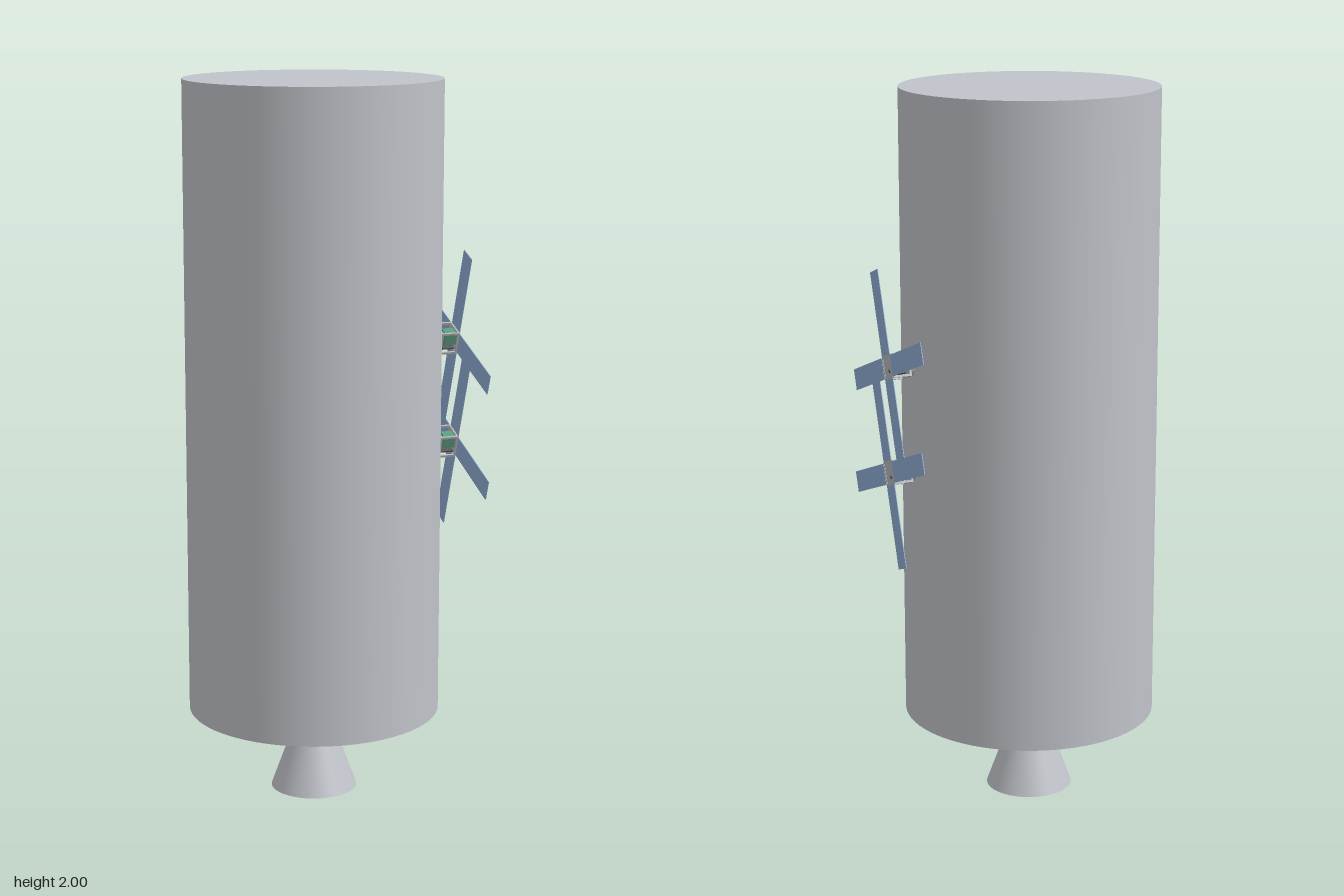
import * as THREE from 'three';

const mat = (name, color) => {
  const m = new THREE.MeshStandardMaterial({ color });
  m.name = name;
  return m;
};

export function createModel() {
  const hullGrey = mat('hull grey', 0xc0c3c9);
  const panelBlue = mat('panel blue', 0x8facd3);
  const frameGrey = mat('frame grey', 0xb4b6b8);
  const boardGreen = mat('board green', 0x5a9e80);
  const darkGrey = mat('dark grey', 0x55585c);

  const model = new THREE.Group();
  model.name = 'rocketStage';

  const add = (parent, name, geometry, material, x, y, z) => {
    const mesh = new THREE.Mesh(geometry, material);
    mesh.name = name;
    mesh.position.set(x, y, z);
    parent.add(mesh);
    return mesh;
  };
  const box = (parent, name, material, size, pos) =>
    add(parent, name, new THREE.BoxGeometry(...size), material, ...pos);

  // Main stage and engine bell
  const axisX = -0.035;
  add(model, 'stageBody', new THREE.CylinderGeometry(0.352, 0.352, 1.76, 72), hullGrey, axisX, 1.12, 0);
  add(model, 'engineNozzle', new THREE.CylinderGeometry(0.034, 0.121, 0.24, 48), hullGrey, axisX, 0.12, 0);

  // Small cube satellite: local +x points away from the stage
  const S = 0.066, D = 0.054, bar = 0.006;
  function satellite(y) {
    const sat = new THREE.Group();
    sat.name = 'cubeSatellite';
    sat.position.set(0.356, y, 0);
    sat.rotation.x = THREE.MathUtils.degToRad(20);

    // Open frame made of twelve bars
    const h = S / 2 - bar / 2, d = D / 2 - bar / 2;
    for (const a of [-1, 1]) {
      for (const b of [-1, 1]) {
        box(sat, 'frameBarDepth', frameGrey, [D, bar, bar], [0, a * h, b * h]);
        box(sat, 'frameBarUpright', frameGrey, [bar, S, bar], [a * d, 0, b * h]);
        box(sat, 'frameBarCross', frameGrey, [bar, bar, S], [a * d, b * h, 0]);
      }
    }
    // Outer face plate, with a small sensor
    box(sat, 'facePlate', frameGrey, [0.002, S - bar, S - bar], [D / 2 - 0.002, 0, 0]);
    const lens = add(sat, 'sensor', new THREE.CylinderGeometry(0.005, 0.005, 0.003, 16), darkGrey, D / 2, -0.012, -0.012);
    lens.rotation.z = Math.PI / 2;

    // Circuit board stack and battery inside
    box(sat, 'innerDeck', darkGrey, [0.04, 0.004, 0.05], [0, -0.02, 0]);
    box(sat, 'circuitBoard', boardGreen, [0.034, 0.034, 0.034], [0.005, 0.01, 0.008]);
    box(sat, 'battery', frameGrey, [0.03, 0.026, 0.012], [0, 0, -0.02]);

    // Release mount against the stage
    const mount = add(sat, 'releaseMount', new THREE.CylinderGeometry(0.03, 0.03, 0.016, 24), frameGrey, -0.033, 0, 0);
    mount.rotation.z = Math.PI / 2;

    // Four unfolded solar panels in a cross
    const inner = S / 2, outer = 0.262;
    for (let i = 0; i < 4; i++) {
      const arm = new THREE.Group();
      arm.name = 'solarArm';
      arm.rotation.x = i * Math.PI / 2;
      box(arm, 'solarPanel', panelBlue, [0.002, outer - inner, 0.058], [D / 2, (inner + outer) / 2, 0]);
      sat.add(arm);
    }
    model.add(sat);
  }
  for (const y of [1.27, 0.975]) satellite(y);

  return model;
}
